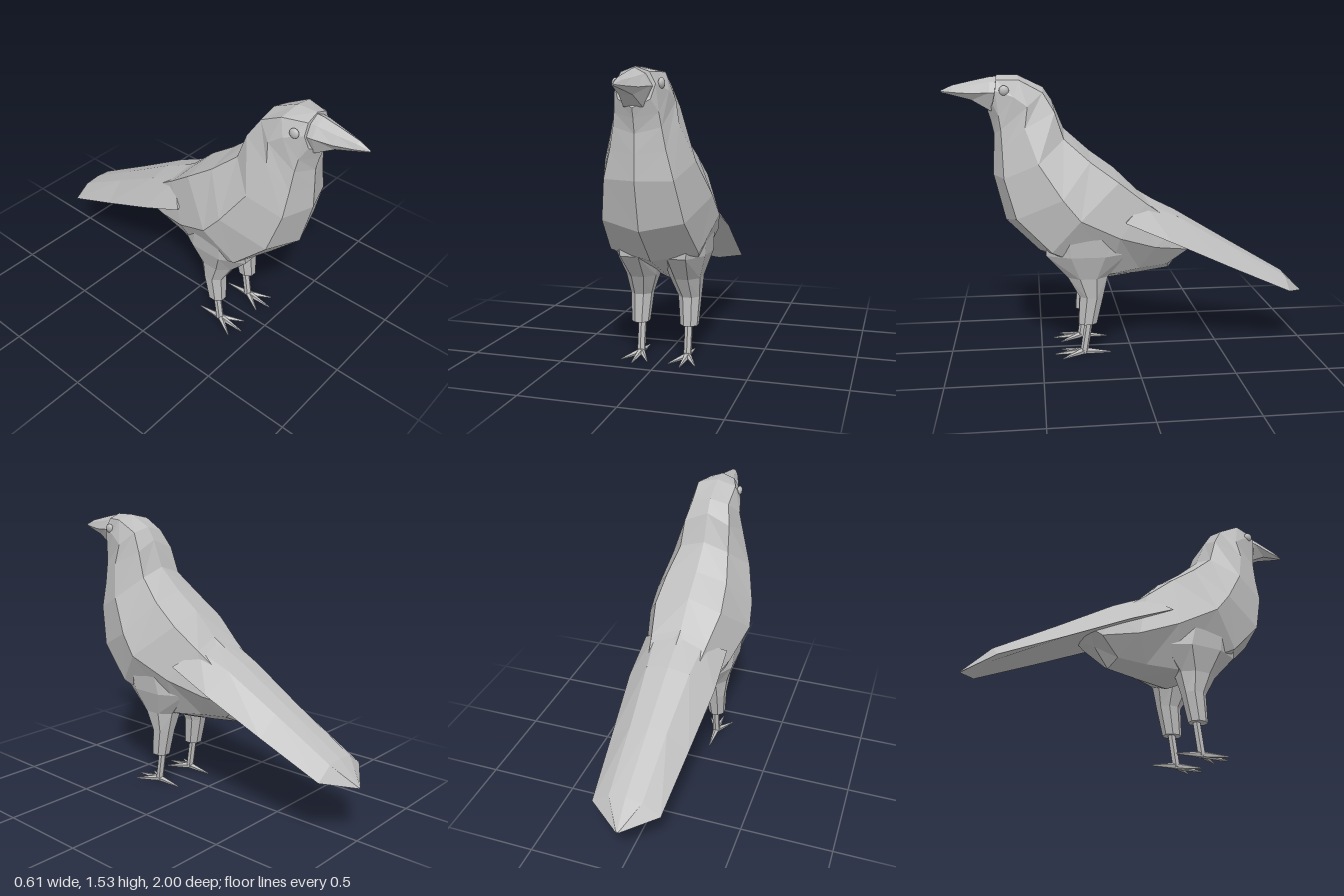
import * as THREE from 'three';

const grey = new THREE.MeshStandardMaterial({ color: 0xbebebe });
grey.name = 'plain grey';

// Faceted skin through closed rings of [x, y, z] points, capped at both ends
function loft(name, rings) {
  const pos = [];
  const tri = (a, b, c) => pos.push(...a, ...b, ...c);
  const n = rings[0].length;
  for (let i = 0; i < rings.length - 1; i++) {
    for (let j = 0; j < n; j++) {
      const k = (j + 1) % n, p = rings[i], q = rings[i + 1];
      // mirror the diagonals so left and right facets match
      if (j < n / 2) { tri(p[j], p[k], q[k]); tri(p[j], q[k], q[j]); }
      else { tri(p[j], p[k], q[j]); tri(p[k], q[k], q[j]); }
    }
  }
  const mid = r => [0, 1, 2].map(a => r.reduce((s, p) => s + p[a], 0) / n);
  const first = rings[0], last = rings[rings.length - 1];
  for (let j = 0; j < n; j++) {
    const k = (j + 1) % n;
    tri(mid(first), first[k], first[j]);
    tri(mid(last), last[j], last[k]);
  }
  // turn the skin outwards if its signed volume is negative
  let volume = 0;
  const v = i => new THREE.Vector3().fromArray(pos, i);
  for (let i = 0; i < pos.length; i += 9) volume += v(i).dot(v(i + 3).cross(v(i + 6)));
  if (volume < 0) {
    for (let i = 0; i < pos.length; i += 9) {
      for (let a = 0; a < 3; a++) [pos[i + a], pos[i + 3 + a]] = [pos[i + 3 + a], pos[i + a]];
    }
  }
  const geo = new THREE.BufferGeometry();
  geo.setAttribute('position', new THREE.Float32BufferAttribute(pos, 3));
  geo.computeVertexNormals();
  const mesh = new THREE.Mesh(geo, grey);
  mesh.name = name;
  return mesh;
}

// Full ring from its left half: the first and last points lie on the centre line
const mirrored = half => [...half, ...half.slice(1, -1).reverse().map(([x, y, z]) => [-x, y, z])];

// Level ring with eight sides
const levelRing = (x, y, z, rx, rz) => Array.from({ length: 8 }, (_, i) => {
  const a = (i + 0.5) * Math.PI / 4;
  return [x + rx * Math.cos(a) / 0.924, y, z + rz * Math.sin(a) / 0.924];
});

// Tapering rod between two points
function rod(name, from, to, r0, r1, sides) {
  const a = new THREE.Vector3(...from), b = new THREE.Vector3(...to);
  const mesh = new THREE.Mesh(
    new THREE.CylinderGeometry(r1, r0, a.distanceTo(b), sides).toNonIndexed(), grey);
  mesh.geometry.computeVertexNormals();
  mesh.position.copy(a).add(b).multiplyScalar(0.5);
  mesh.quaternion.setFromUnitVectors(new THREE.Vector3(0, 1, 0), b.sub(a).normalize());
  mesh.name = name;
  return mesh;
}

export function createModel() {
  const bird = new THREE.Group();
  bird.name = 'bird';

  // Head and body: back y, z | back edge | flank | breast edge | breast y, z
  const sections = [
    [1.53, .71, .07, 1.505, .71, .1, 1.45, .715, .08, 1.38, .73, 1.34, .76],
    [1.53, .6, .11, 1.505, .59, .135, 1.42, .62, .11, 1.32, .7, 1.29, .745],
    [1.465, .466, .105, 1.44, .47, .15, 1.37, .55, .12, 1.25, .69, 1.22, .73],
    [1.395, .42, .13, 1.34, .41, .17, 1.26, .565, .14, 1.14, .685, 1.12, .735],
    [1.246, .36, .14, 1.2, .365, .235, 1.08, .5, .175, 1, .68, 1, .74],
    [1.125, .225, .175, 1.08, .23, .29, .9, .38, .21, .79, .62, .75, .68],
    [1.027, .09, .19, .97, .08, .305, .79, .29, .235, .61, .44, .57, .5],
    [.9, -.04, .16, .85, -.07, .25, .68, .08, .15, .46, .13, .4, .14],
    [.77, -.25, .13, .72, -.25, .18, .61, -.12, .1, .475, -.04, .425, -.05],
    [.65, -.4, .1, .62, -.38, .12, .58, -.31, .08, .49, -.2, .45, -.22],
  ];
  bird.add(loft('body', sections.map(s => mirrored([
    [0, s[0], s[1]], s.slice(2, 5), s.slice(5, 8), s.slice(8, 11), [0, s[11], s[12]]]))));

  // Folded wings and tail: ridge y, z | shoulder | outer edge | underside y, z
  const tail = [
    [.89, -.04, .14, .85, -.06, .24, .76, .05, .75, -.05],
    [.785, -.25, .12, .765, -.25, .245, .65, -.2, .66, -.25],
    [.605, -.55, .1, .59, -.55, .215, .49, -.54, .52, -.55],
    [.41, -.88, .09, .4, -.88, .185, .335, -.88, .355, -.88],
    [.29, -1, .006, .289, -1, .008, .285, -1, .283, -1],
  ];
  bird.add(loft('wingsAndTail', tail.map(s => mirrored([
    [0, s[0], s[1]], s.slice(2, 5), s.slice(5, 8), [0, s[8], s[9]]]))));

  // Beak: z, top, side half-width, side height, bottom
  const beak = [
    [.69, 1.525, .09, 1.44, 1.34], [.745, 1.52, .085, 1.44, 1.345],
    [.84, 1.5, .06, 1.435, 1.4], [.94, 1.477, .028, 1.44, 1.425], [1, 1.45, .004, 1.445, 1.44]];
  bird.add(loft('beak', beak.map(([z, top, w, side, low]) => mirrored([
    [0, top, z], [w * .6, (top * 2 + side) / 3, z], [w, side, z], [w * .55, low, z], [0, low, z]]))));

  for (const side of [1, -1]) {
    const prefix = side > 0 ? 'left' : 'right';
    const x = side * .13;

    // Eye
    const eye = new THREE.Mesh(new THREE.SphereGeometry(.026, 12, 8), grey);
    eye.scale.x = .6;
    eye.position.set(side * .114, 1.453, .668);
    eye.name = prefix + 'Eye';
    bird.add(eye);

    // Feathered thigh, widening into the belly
    bird.add(loft(prefix + 'Thigh', [
      levelRing(side * .136, .185, .25, .046, .05),
      levelRing(side * .133, .34, .228, .058, .064),
      levelRing(side * .12, .45, .247, .083, .108),
      levelRing(side * .125, .58, .25, .118, .22),
      levelRing(side * .14, .72, .27, .115, .2)]));

    // Shank and foot with three front toes and one hind toe
    const foot = new THREE.Group();
    foot.name = prefix + 'Foot';
    foot.add(rod('shank', [x, .22, .238], [x, .015, .27], .022, .022, 6));
    for (const [dx, z] of [[0, .43], [.072, .39], [-.072, .39], [0, .12]]) {
      foot.add(rod('toe', [x, .019, .27], [x + dx, .005, z], .019, .004, 5));
    }
    bird.add(foot);
  }
  return bird;
}
